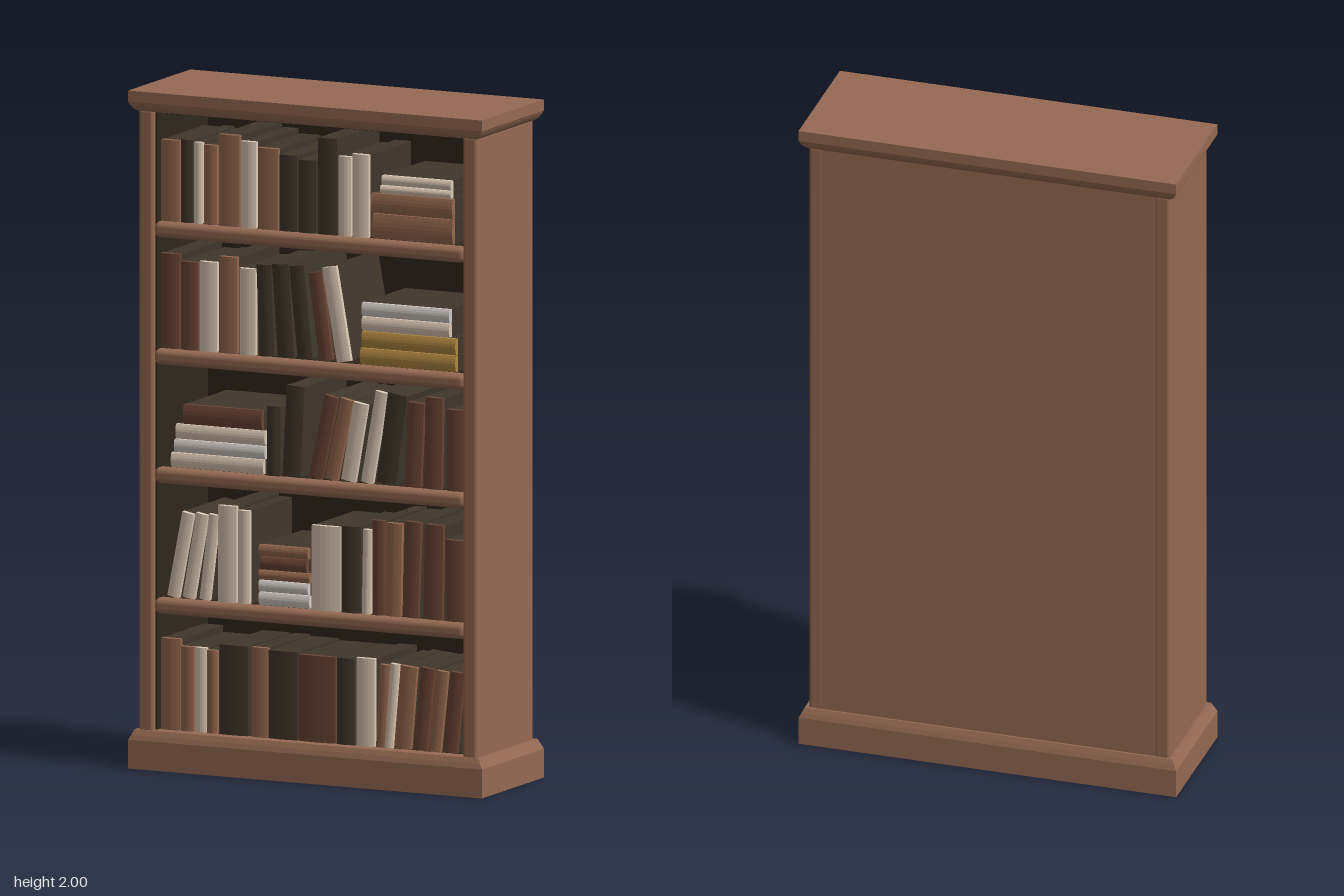
import * as THREE from 'three';
import { RoundedBoxGeometry } from 'three/addons/geometries/RoundedBoxGeometry.js';

const mat = (name, color) => {
  const m = new THREE.MeshStandardMaterial({ color });
  m.name = name;
  return m;
};

export function createModel() {
  const root = new THREE.Group();
  root.name = 'bookcase';

  const wood = mat('wood', 0x956a53);
  const lining = mat('dark lining', 0x2e271b);
  const covers = {
    d: mat('dark cover', 0x40372b),
    r: mat('red brown cover', 0x6b4535),
    b: mat('light brown cover', 0x966850),
    w: mat('cream cover', 0xdecab6),
    g: mat('pale grey cover', 0xd4cdc7),
    o: mat('ochre cover', 0xb48a42),
  };

  const add = (parent, name, geo, material, x = 0, y = 0, z = 0) => {
    const m = new THREE.Mesh(geo, material);
    m.name = name;
    m.position.set(x, y, z);
    parent.add(m);
    return m;
  };

  // Moulding: stacked rectangular rings [y, half width, half depth], capped at both ends
  function moulding(rings) {
    const pos = [];
    const corners = ([y, a, b]) => [[-a, y, b], [a, y, b], [a, y, -b], [-a, y, -b]];
    const quad = (a, b, c, d) => pos.push(...a, ...b, ...c, ...a, ...c, ...d);
    for (let i = 0; i < rings.length - 1; i++) {
      const lo = corners(rings[i]), hi = corners(rings[i + 1]);
      for (let k = 0; k < 4; k++) {
        const n = (k + 1) % 4;
        quad(lo[k], lo[n], hi[n], hi[k]);
      }
    }
    const bottom = corners(rings[0]), top = corners(rings[rings.length - 1]);
    quad(...top);
    quad(...bottom.reverse());
    const g = new THREE.BufferGeometry();
    g.setAttribute('position', new THREE.Float32BufferAttribute(pos, 3));
    g.computeVertexNormals();
    return g;
  }

  // Plinth and crown
  add(root, 'plinth', moulding([
    [0, 0.575, 0.202], [0.085, 0.575, 0.202], [0.1, 0.567, 0.197], [0.115, 0.56, 0.19],
  ]), wood);
  add(root, 'crown', moulding([
    [1.94, 0.552, 0.186], [1.948, 0.563, 0.193], [1.958, 0.57, 0.199], [1.968, 0.575, 0.202], [2, 0.575, 0.202],
  ]), wood);

  // Sides, back and the dark lining of the inside
  for (const s of [-1, 1]) {
    add(root, s > 0 ? 'leftSide' : 'rightSide',
      new RoundedBoxGeometry(0.047, 1.84, 0.37, 3, 0.01), wood, s * 0.5265, 1.025, 0);
    add(root, 'sideLining', new THREE.BoxGeometry(0.006, 1.825, 0.335), lining, s * 0.501, 1.0275, 0.0);
  }
  add(root, 'backPanel', new THREE.BoxGeometry(1.03, 1.84, 0.012), wood, 0, 1.025, -0.178);
  add(root, 'backLining', new THREE.BoxGeometry(1.008, 1.825, 0.008), lining, 0, 1.0275, -0.168);
  add(root, 'topLining', new THREE.BoxGeometry(1.004, 0.006, 0.33), lining, 0, 1.938, 0);

  // Shelves: dark boards with rounded wooden front edges
  const tops = [0.115, 0.505, 0.89, 1.24, 1.615];
  for (const y of tops) {
    add(root, 'shelfBoard', new THREE.BoxGeometry(1.004, 0.036, 0.31), lining, 0, y - 0.017, -0.01);
  }
  for (const y of tops.slice(1)) {
    add(root, 'shelfEdge', new RoundedBoxGeometry(1.012, 0.047, 0.05, 4, 0.018), wood, 0, y - 0.0235, 0.154);
  }

  // One book standing on its origin: dark body with a coloured, slightly rounded spine
  function book(w, h, key) {
    const g = new THREE.Group();
    g.name = 'book';
    const a = w / 2;
    add(g, 'bookBody', new THREE.BoxGeometry(w * 0.98, h * 0.99, 0.265), covers.d, 0, h / 2, 0.0055);
    const s = new THREE.Shape();
    s.moveTo(-a, -0.137);
    s.lineTo(a, -0.137);
    s.lineTo(a, -0.15);
    s.quadraticCurveTo(0, -0.16, -a, -0.15);
    s.closePath();
    const spine = new THREE.ExtrudeGeometry(s, { depth: h, bevelEnabled: false, curveSegments: 6 });
    spine.rotateX(-Math.PI / 2);
    add(g, 'bookSpine', spine, covers[key]);
    return g;
  }

  // Row of books: [colour, left edge, width, height, lean to the right in degrees], sizes in hundredths
  function row(level, books) {
    for (const [key, x, w, h, lean = 0] of books) {
      const b = book(w / 100 - 0.002, h / 100, key);
      const pivot = new THREE.Group();
      pivot.name = 'standingBook';
      const side = Math.sign(lean);
      const half = w / 200;
      b.position.x = -side * half;
      pivot.position.set(x / 100 + half + side * half, tops[level], 0);
      pivot.rotation.z = -lean * Math.PI / 180;
      pivot.add(b);
      root.add(pivot);
    }
  }

  // Pile of books lying flat: [colour, left edge, right edge, thickness], sizes in hundredths
  function pile(level, books) {
    let y = tops[level];
    for (const [key, x0, x1, t] of books) {
      const b = book(t / 100 - 0.002, (x1 - x0) / 100, key);
      b.name = 'lyingBook';
      b.rotation.z = Math.PI / 2;
      b.position.set(x1 / 100, y + t / 200, 0);
      root.add(b);
      y += t / 100;
    }
  }

  // Bottom shelf
  row(0, [
    ['b', -49.5, 6.5, 27], ['b', -43, 4.5, 25], ['w', -38.5, 4, 25], ['b', -34.5, 3.5, 24.5],
    ['d', -30.5, 9.5, 26.5], ['b', -20, 5.5, 26.5], ['d', -14.5, 9.5, 26], ['r', -4.8, 12.3, 25.5],
    ['d', 7.7, 6, 25.5], ['w', 14, 6.2, 26], ['b', 20.4, 3.5, 24.5, 3], ['w', 23, 3, 25, 5],
    ['b', 26.3, 5.5, 24.5, 5], ['r', 32.5, 4.5, 24.5, 6], ['b', 37.5, 4, 24, 6], ['r', 42, 4.8, 24, 6],
  ]);

  // Second shelf
  row(1, [
    ['w', -47.5, 4, 25.5, 11], ['w', -42.5, 4, 25.5, 10], ['w', -37, 3.5, 25.5, 7],
    ['w', -31, 6.3, 28.5], ['w', -24.5, 4, 27.5], ['w', -0.5, 9.5, 25], ['d', 9.2, 6.3, 25.5],
    ['w', 15.8, 3, 25, 1], ['r', 19.3, 4, 28], ['b', 23.4, 5.2, 27.5, 1], ['r', 29, 5.2, 28.3, 2],
    ['r', 35.8, 6.2, 28, 1], ['r', 43, 6, 24],
  ]);
  pile(1, [
    ['g', -17.5, -1, 4], ['g', -17.5, -1.5, 3.5], ['b', -17.5, -1, 3], ['r', -17, -2, 4], ['b', -17.5, -1.5, 3.5],
  ]);

  // Third shelf
  pile(2, [
    ['w', -46, -16, 4.5], ['g', -45, -15.5, 4], ['w', -44.5, -15.5, 4.5], ['r', -42, -16.5, 6],
  ]);
  row(2, [
    ['d', -15, 4.5, 20.5], ['d', -10, 6, 27, 3], ['r', -1.5, 4.5, 25, 12], ['b', 3.8, 4.2, 24.5, 12],
    ['w', 9, 4.8, 23.5, 10], ['w', 15.5, 4, 27.5, 10], ['d', 20.5, 6.5, 27, 8],
    ['r', 29.5, 5.5, 25, 3], ['r', 36, 5.8, 27, 1], ['r', 43.3, 5.7, 24],
  ]);

  // Fourth shelf
  row(3, [
    ['r', -49.5, 6.3, 28], ['r', -43, 5.5, 26], ['w', -37, 6, 26.5], ['b', -30.5, 6, 28.5],
    ['w', -24, 5.5, 25.5], ['d', -17.5, 5, 27, -2], ['d', -11.5, 5.5, 27.5, -4], ['d', -5, 5, 27.5, -6],
    ['r', 2, 4.5, 26, -8], ['w', 7.7, 4.8, 28, -10],
  ]);
  pile(3, [
    ['o', 15.5, 46.5, 5], ['o', 16, 46.5, 5], ['w', 16, 44.5, 4.3], ['g', 16, 44.5, 4.2],
  ]);

  // Top shelf
  row(4, [
    ['b', -49.5, 6.3, 24], ['d', -43, 4, 24.5], ['w', -38.8, 3, 24], ['b', -35.5, 4.5, 23.5],
    ['b', -30.7, 7, 27], ['w', -23.4, 5, 25.5], ['b', -18, 6.8, 24], ['d', -11, 6, 22.5],
    ['d', -4.8, 6, 21.5], ['d', 1.5, 6.5, 28.5], ['w', 8.3, 4.2, 23.5], ['w', 12.7, 5.5, 24.5],
  ]);
  pile(4, [
    ['b', 19.5, 45.5, 7.5], ['b', 19, 45.5, 6], ['w', 22, 45, 2.5], ['w', 22.5, 45, 3],
  ]);

  return root;
}
